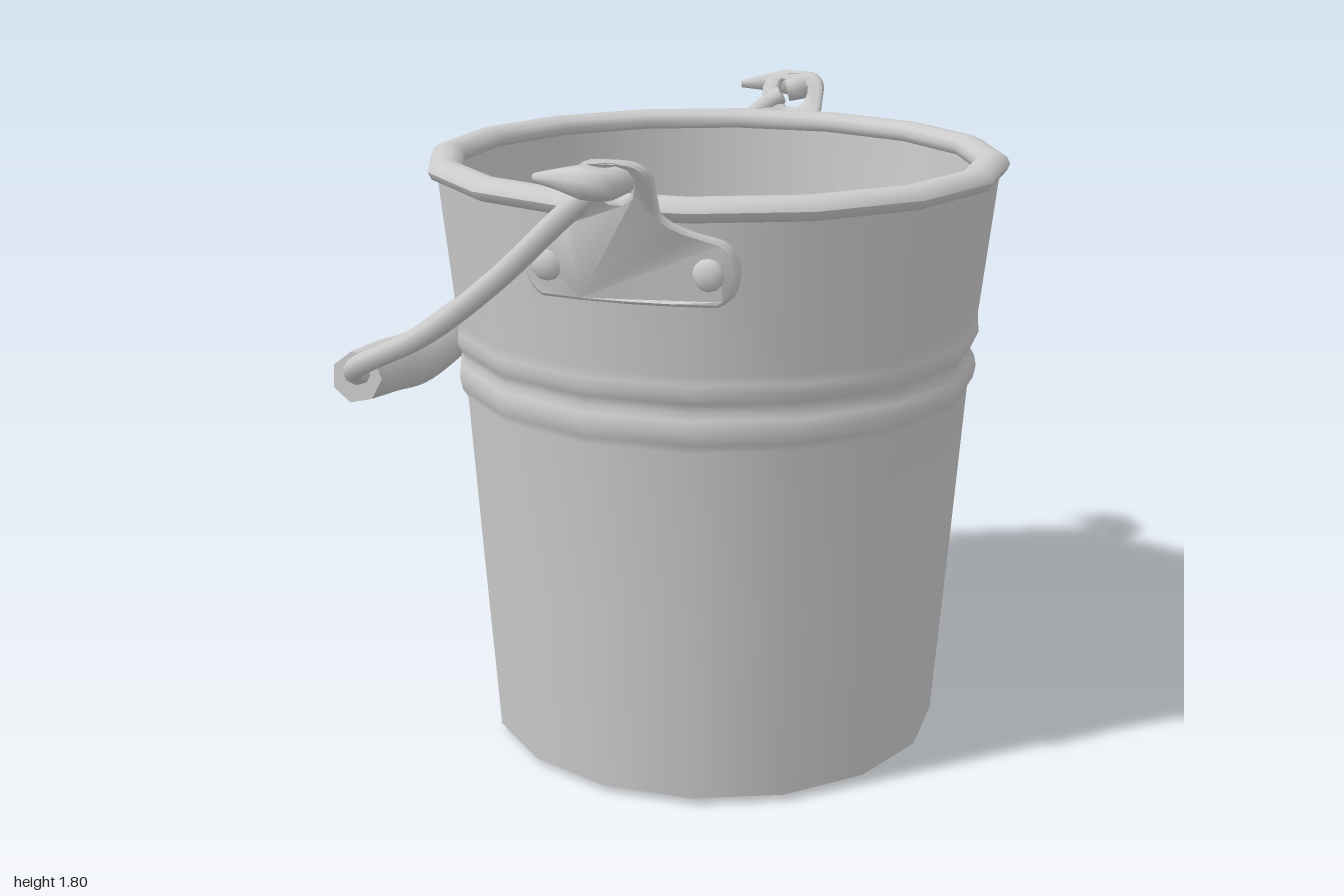
import * as THREE from 'three';
import { toCreasedNormals } from 'three/addons/utils/BufferGeometryUtils.js';

const CX = 0.113;   // axis of the bucket
const SIDES = 16;
const material = new THREE.MeshStandardMaterial({ color: 0xcccccc, side: THREE.DoubleSide });

function add(parent, name, geometry) {
  const mesh = new THREE.Mesh(geometry, material);
  mesh.name = name;
  parent.add(mesh);
  return mesh;
}

// 16-sided turned part with a flat side facing each axis
function turned(profile) {
  const points = profile.map(([r, y]) => new THREE.Vector2(r, y));
  return new THREE.LatheGeometry(points, SIDES, Math.PI / SIDES);
}

// Tube with a radius that varies along its length and flat closed ends
function rod(points, radius, sides, segments) {
  const path = new THREE.CatmullRomCurve3(points.map(p => new THREE.Vector3(...p)));
  const geometry = new THREE.TubeGeometry(path, segments, 1, sides, false);
  const pos = geometry.attributes.position;
  const v = new THREE.Vector3();
  for (let i = 0; i <= segments; i++) {
    const centre = path.getPointAt(i / segments);
    const capRing = i === 0 || i === segments;
    const capCentre = path.getPointAt(Math.min(Math.max(i, 1), segments - 1) / segments);
    for (let j = 0; j <= sides; j++) {
      const k = i * (sides + 1) + j;
      if (capRing) v.copy(capCentre);
      else v.fromBufferAttribute(pos, k).sub(centre).multiplyScalar(radius(i / segments)).add(centre);
      pos.setXYZ(k, v.x, v.y, v.z);
    }
  }
  return toCreasedNormals(geometry, 1.1);
}

// Riveted ear: rounded base plate with a leaning, pierced tab
function makeEar() {
  const ear = new THREE.Group();
  const s = new THREE.Shape();
  s.moveTo(0, 1.43);
  s.lineTo(0.12, 1.43);
  s.lineTo(0.23, 1.43);
  s.quadraticCurveTo(0.28, 1.45, 0.28, 1.52);
  s.quadraticCurveTo(0.28, 1.59, 0.22, 1.605);
  s.quadraticCurveTo(0.12, 1.63, 0.097, 1.67);
  s.lineTo(0.097, 1.76);
  s.quadraticCurveTo(0.085, 1.805, 0.03, 1.805);
  s.lineTo(-0.03, 1.805);
  s.quadraticCurveTo(-0.085, 1.805, -0.097, 1.76);
  s.lineTo(-0.097, 1.67);
  s.quadraticCurveTo(-0.12, 1.63, -0.22, 1.605);
  s.quadraticCurveTo(-0.28, 1.59, -0.28, 1.52);
  s.quadraticCurveTo(-0.28, 1.45, -0.23, 1.43);
  s.lineTo(-0.12, 1.43);
  s.closePath();
  const hole = new THREE.Path();
  hole.absarc(0, 1.745, 0.05, 0, Math.PI * 2, true);
  s.holes.push(hole);
  const geometry = new THREE.ExtrudeGeometry(s, {
    depth: 0.025, curveSegments: 5, bevelEnabled: true,
    bevelThickness: 0.008, bevelSize: 0.008, bevelOffset: -0.008, bevelSegments: 1,
  });
  // Follow the wall, then lean outward above the shoulder
  const bend = (x, y) => 0.765 + 0.1 * (y - 1.5) + 0.42 * Math.max(0, y - 1.6) - 0.5 * x * x;
  const pos = geometry.attributes.position;
  for (let i = 0; i < pos.count; i++) {
    pos.setZ(i, pos.getZ(i) + bend(pos.getX(i), pos.getY(i)));
  }
  add(ear, 'earPlate', toCreasedNormals(geometry, 0.7));

  for (const x of [-0.21, 0.21]) {
    const rivet = add(ear, 'rivet', new THREE.SphereGeometry(0.042, 10, 6));
    rivet.scale.z = 0.6;
    rivet.position.set(x, 1.515, bend(x, 1.515) + 0.032);
  }
  return ear;
}

export function createModel() {
  const model = new THREE.Group();
  model.name = 'bucket';

  const body = new THREE.Group();
  body.name = 'body';
  body.position.x = CX;
  model.add(body);

  // Outer wall with two raised beads
  add(body, 'outerWall', turned([
    [0.653, 0.02], [0.69, 0.55], [0.722, 1.03], [0.737, 1.055], [0.744, 1.09],
    [0.738, 1.12], [0.726, 1.14], [0.737, 1.165], [0.748, 1.19], [0.745, 1.215],
    [0.743, 1.24], [0.787, 1.65],
  ]));
  // Rolled rim
  const rim = [];
  for (let i = 0; i <= 10; i++) {
    const a = -i / 10 * Math.PI * 2;
    rim.push([0.765 + 0.048 * Math.cos(a), 1.667 - 0.033 * Math.sin(a)]);
  }
  add(body, 'rim', turned(rim.reverse()));
  // Inner wall and floor
  add(body, 'innerWall', turned([[0.735, 1.66], [0.705, 1.1], [0.64, 0.14]]));
  add(body, 'floor', turned([[0.64, 0.14], [0, 0.14]]));
  // Foot ring and recessed underside
  add(body, 'footRing', turned([[0.58, 0], [0.6, 0.018], [0.653, 0.02]]));
  add(body, 'recessWall', turned([[0.575, 0.12], [0.58, 0]]));
  add(body, 'underside', turned([[0, 0.12], [0.575, 0.12]]));

  for (const turn of [0, Math.PI]) {
    const ear = makeEar();
    ear.name = turn ? 'backEar' : 'frontEar';
    ear.position.x = CX;
    ear.rotation.y = turn;
    model.add(ear);
  }

  // Wire handle swung down to the side, with a hooked end through each ear
  const handle = new THREE.Group();
  handle.name = 'handle';
  model.add(handle);
  for (const side of [1, -1]) {
    const mirror = points => points.map(([x, y, z]) => [x, y, z * side]);
    add(handle, 'handleWire', rod(mirror([
      [-0.775, 1.09, 0.46], [-0.76, 1.11, 0.54], [-0.7, 1.165, 0.665], [-0.66, 1.19, 0.69],
      [-0.45, 1.3, 0.755], [-0.22, 1.475, 0.81], [-0.02, 1.66, 0.838], [0.06, 1.725, 0.84],
      [0.115, 1.755, 0.85],
    ]), () => 0.029, 8, 32));
    add(handle, 'handleHook', rod(mirror([
      [0.08, 1.745, 0.838], [0.13, 1.756, 0.86], [0.135, 1.756, 0.91], [0.115, 1.757, 0.957],
      [0.06, 1.762, 0.958], [-0.01, 1.76, 0.93], [-0.09, 1.755, 0.905],
    ]), t => t < 0.55 ? 0.033 + 0.016 * t : 0.042 - 0.075 * (t - 0.55), 8, 20));
  }
  // Bowed grip
  add(handle, 'grip', rod([
    [-0.777, 1.095, 0.55], [-0.805, 1.06, 0.3], [-0.835, 1.015, 0],
    [-0.805, 1.06, -0.3], [-0.777, 1.095, -0.55],
  ], t => 0.072 + 0.012 * Math.sin(Math.PI * t), 7, 20));

  return model;
}
